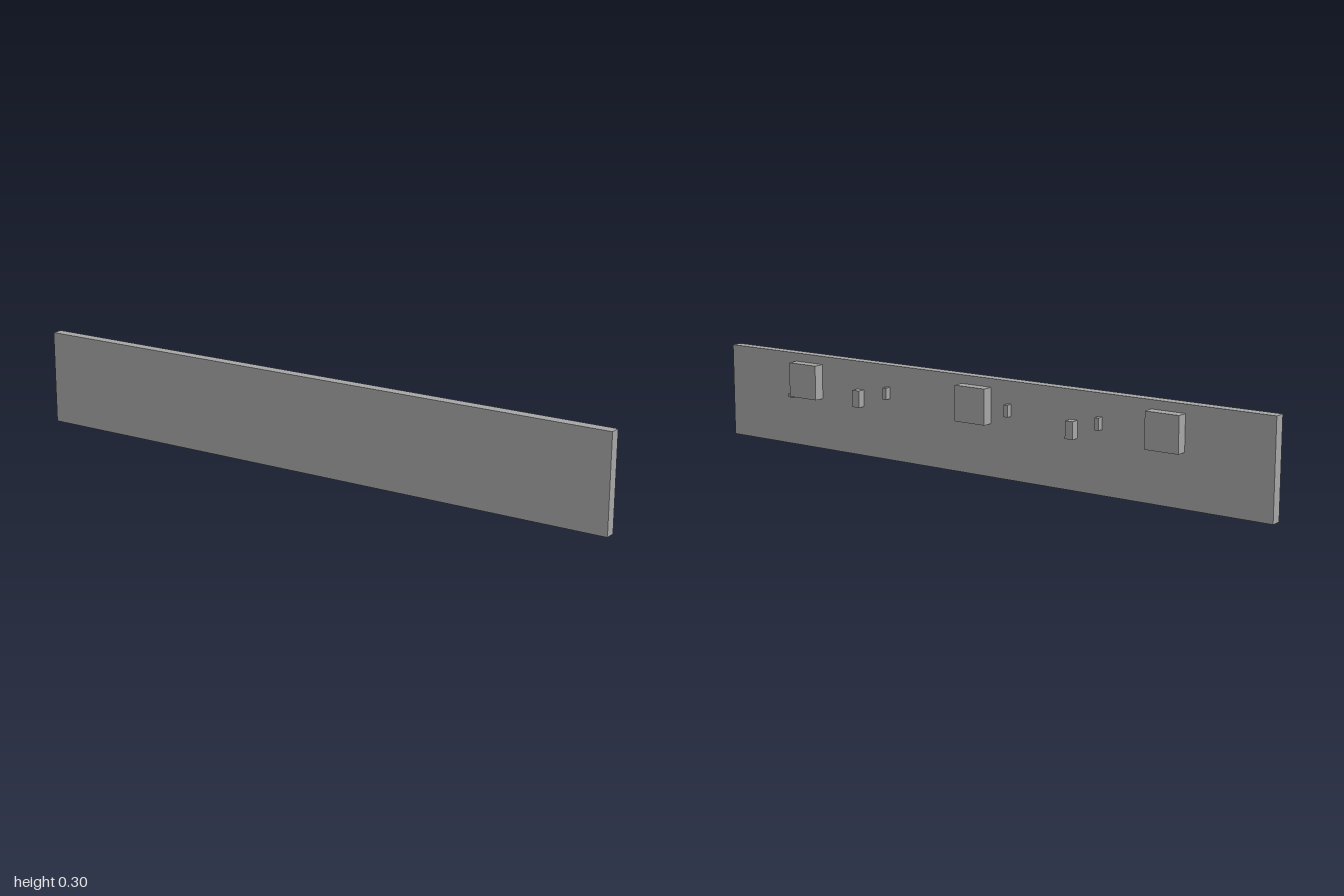
import * as THREE from 'three';

export function createModel() {
  const group = new THREE.Group();
  const grey = new THREE.MeshStandardMaterial({ color: 0xa8a8a8 });
  grey.name = 'plain grey';

  // Box given by its centre x, width, y range and z range
  const addBox = (name, x, width, y0, y1, z0, z1) => {
    const mesh = new THREE.Mesh(new THREE.BoxGeometry(width, y1 - y0, z1 - z0), grey);
    mesh.position.set(x, (y0 + y1) / 2, (z0 + z1) / 2);
    mesh.name = name;
    group.add(mesh);
  };

  // Long upright board
  addBox('board', 0, 2, 0, 0.302, 0, 0.035);

  // Three large mounting blocks on the back
  for (const x of [-0.665, 0, 0.665]) addBox('mountingBlock', x, 0.11, 0.164, 0.275, -0.035, 0);

  // Medium blocks between them
  for (const x of [-0.35, 0.452]) addBox('mediumBlock', x, 0.027, 0.158, 0.212, -0.025, 0);

  // Small blocks
  for (const x of [-0.441, -0.122, 0.34]) addBox('smallBlock', x, 0.014, 0.195, 0.232, -0.02, 0);

  // Tiny stud beside the left mounting block
  addBox('stud', 0.74, 0.02, 0.155, 0.166, -0.01, 0);

  return group;
}
